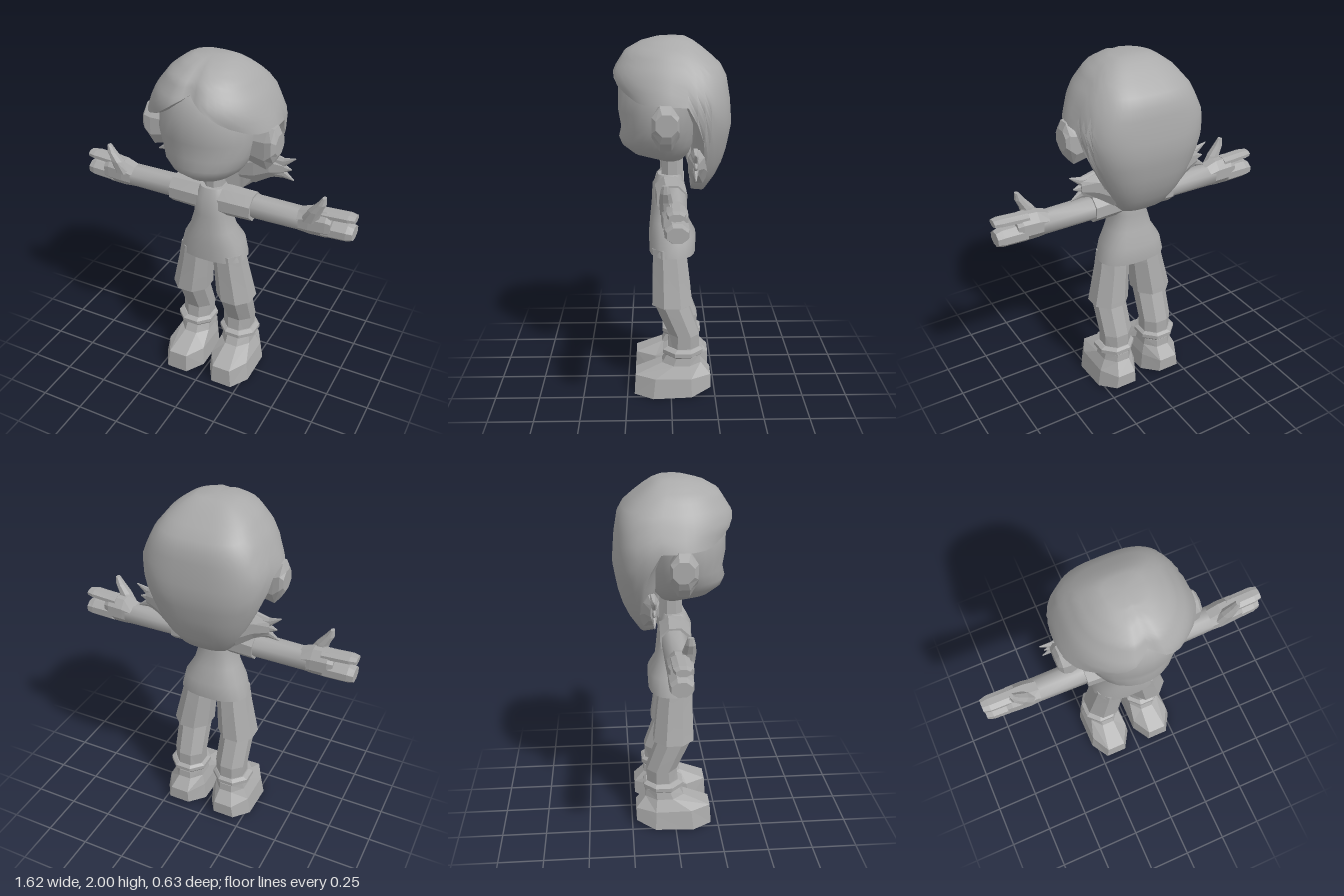
import * as THREE from 'three';
import { toCreasedNormals } from 'three/addons/utils/BufferGeometryUtils.js';

const FLAT = 0.05, SMOOTH = 1.0;
const power = (v, e) => Math.sign(v) * Math.pow(Math.abs(v), e);

// Skin a list of equal-length closed rings, cap both ends, face outwards.
function loft(rings, crease) {
  const n = rings[0].length, pts = rings.flat(), idx = [];
  for (let r = 0; r < rings.length - 1; r++) {
    for (let i = 0; i < n; i++) {
      const a = r * n + i, b = r * n + (i + 1) % n;
      idx.push(a, b, b + n, a, b + n, a + n);
    }
  }
  [0, rings.length - 1].forEach((r, end) => {
    const c = pts.length;
    pts.push(rings[r].reduce((s, p) => s.add(p), new THREE.Vector3()).divideScalar(n));
    for (let i = 0; i < n; i++) {
      const a = r * n + i, b = r * n + (i + 1) % n;
      idx.push(...(end ? [c, a, b] : [c, b, a]));
    }
  });
  let volume = 0;
  for (let i = 0; i < idx.length; i += 3) {
    volume += pts[idx[i]].dot(pts[idx[i + 1]].clone().cross(pts[idx[i + 2]]));
  }
  if (volume < 0) idx.reverse();
  const geo = new THREE.BufferGeometry().setFromPoints(pts);
  geo.setIndex(idx);
  return toCreasedNormals(geo, crease);
}

// Horizontal ring: half-width w about xc, reaching from zb to zf.
function ringY(y, xc, w, zf, zb, n = 8, e = 1) {
  const k = n === 8 ? 1 / Math.cos(Math.PI / 8) : 1;
  return Array.from({ length: n }, (_, i) => {
    const a = (i + 0.5) / n * Math.PI * 2;
    return new THREE.Vector3(
      xc + w * k * power(Math.sin(a), e), y,
      (zf + zb) / 2 + (zf - zb) / 2 * k * power(Math.cos(a), e));
  });
}

// Ring across the arm: heights y0 to y1, depths z0 to z1.
function ringX(x, y0, y1, z0, z1, n = 8) {
  const k = 1 / Math.cos(Math.PI / n);
  return Array.from({ length: n }, (_, i) => {
    const a = (i + 0.5) / n * Math.PI * 2;
    return new THREE.Vector3(x,
      (y0 + y1) / 2 + (y1 - y0) / 2 * k * Math.cos(a),
      (z0 + z1) / 2 + (z1 - z0) / 2 * k * Math.sin(a));
  });
}

// Linear lookup in rows sorted by descending or ascending first column.
function lookup(rows, t) {
  for (let i = 0; i < rows.length - 1; i++) {
    const [p, q] = [rows[i], rows[i + 1]];
    if ((t - p[0]) * (t - q[0]) <= 0) {
      const f = (t - p[0]) / (q[0] - p[0]);
      return p.map((v, j) => v + (q[j] - v) * f);
    }
  }
  return rows[rows.length - 1];
}

// Hair shell: outline by height, lower edge by angle from the front parting.
function hairGeometry() {
  const outline = [
    [2.0, 0.1, 0.08, -0.08], [1.98, 0.15, 0.16, -0.12], [1.93, 0.22, 0.25, -0.19],
    [1.84, 0.29, 0.31, -0.29], [1.78, 0.32, 0.325, -0.3], [1.69, 0.36, 0.285, -0.315],
    [1.56, 0.35, 0.2, -0.325], [1.4, 0.29, 0.1, -0.295], [1.3, 0.24, 0.1, -0.26],
    [1.18, 0.17, 0.1, -0.18]];
  const edge = [[0, 1.88], [18, 1.82], [36, 1.74], [55, 1.69], [98, 1.68],
    [112, 1.5], [125, 1.25], [140, 1.2], [180, 1.19]];
  const n = 48, steps = 14, rings = [];
  const at = (i, v) => {
    const deg = i / n * 360, off = deg > 180 ? 360 - deg : deg;
    const y = 2 + (lookup(edge, off)[1] - 2) * Math.pow(v, 1.4);
    const [, w, zf, zb] = lookup(outline, y);
    const a = deg * Math.PI / 180, s = Math.sin(a), c = Math.cos(a);
    const notch = 1 - 0.1 * Math.max(0, 1 - off / 15);
    return c >= 0
      ? new THREE.Vector3(w * s, y, zf * c * notch)
      : new THREE.Vector3(w * power(s, 0.65), y, -zb * power(c, 0.65));
  };
  for (let r = 0; r <= steps; r++) {
    rings.push(Array.from({ length: n }, (_, i) => at(i, r / steps)));
  }
  // Underside, then the inner face rising to the scalp
  const rim = rings[steps];
  rings.push(rim.map(p => new THREE.Vector3(p.x * 0.86, p.y, Math.max(p.z * 0.88, -0.11))));
  rings.push(rim.map(p => new THREE.Vector3(p.x * 0.8, Math.max(p.y, 1.7), Math.max(p.z * 0.8, -0.14))));
  return loft(rings, SMOOTH);
}

export function createModel() {
  const model = new THREE.Group();
  const grey = new THREE.MeshStandardMaterial({ color: 0xaaaaaa });
  grey.name = 'plain grey';
  const add = (name, geo) => {
    const mesh = new THREE.Mesh(geo, grey);
    mesh.name = name;
    model.add(mesh);
  };
  const stack = (rows, n, e, crease) =>
    loft(rows.map(([y, w, zf, zb]) => ringY(y, 0, w, zf, zb, n, e)), crease);

  // Head, hair, neck and shirt
  add('head', stack([
    [1.335, 0.05, 0.05, -0.06], [1.38, 0.14, 0.2, -0.1], [1.43, 0.195, 0.262, -0.12],
    [1.475, 0.225, 0.28, -0.13], [1.53, 0.248, 0.267, -0.14], [1.62, 0.265, 0.282, -0.15],
    [1.75, 0.255, 0.28, -0.16], [1.85, 0.2, 0.235, -0.14], [1.92, 0.1, 0.12, -0.06]], 24, 1, SMOOTH));
  add('hair', hairGeometry());
  add('neck', stack([[1.22, 0.055, 0.05, -0.07], [1.37, 0.05, 0.05, -0.07]], 8, 1, FLAT));
  add('shirt', stack([
    [0.82, 0.2, 0.12, -0.14], [0.92, 0.175, 0.122, -0.142], [1.0, 0.13, 0.115, -0.1],
    [1.1, 0.1, 0.105, -0.09], [1.2, 0.1, 0.1, -0.08], [1.26, 0.07, 0.07, -0.06]], 20, 0.8, SMOOTH));

  for (const side of [1, -1]) {
    const label = side > 0 ? 'left ' : 'right ';
    const pair = (name, rings, crease = FLAT) => add(label + name,
      loft(rings.map(r => r.map(p => new THREE.Vector3(p.x * side, p.y, p.z))), crease));
    const across = rows => rows.map(r => ringX(...r));

    // Ear
    pair('ear', [
      [0.22, 1.48, 1.67, -0.03, 0.08], [0.33, 1.455, 1.695, -0.04, 0.1],
      [0.365, 1.5, 1.69, -0.04, 0.1], [0.385, 1.54, 1.65, -0.03, 0.08],
    ].map(r => ringX(...r, 8)));

    // Flicked hair ends with three tips
    pair('hair flick', across([
      [0.1, 1.24, 1.4, -0.22, -0.1], [0.19, 1.25, 1.45, -0.2, -0.09],
      [0.28, 1.31, 1.45, -0.17, -0.09], [0.36, 1.34, 1.42, -0.14, -0.11]]));
    for (const [x, y] of [[0.42, 1.45], [0.4, 1.38], [0.415, 1.32]]) {
      pair('hair tip', across([
        [0.28, 1.34 + (y - 1.38) * 0.4, 1.43 + (y - 1.38) * 0.4, -0.15, -0.1],
        [0.355, y * 0.5 + 0.665, y * 0.5 + 0.715, -0.135, -0.11],
        [x, y - 0.003, y + 0.003, -0.125, -0.12]]));
    }

    // Sleeve, arm and hand
    pair('sleeve', across([[0, 1.1, 1.255, -0.075, 0.085], [0.1, 1.1, 1.258, -0.08, 0.085],
      [0.245, 1.1, 1.25, -0.085, 0.075]]), 0.6);
    pair('forearm', across([[0.2, 1.115, 1.24, -0.075, 0.06], [0.55, 1.115, 1.235, -0.075, 0.05]]), 0.9);
    pair('palm', across([[0.5, 1.115, 1.235, -0.07, 0.05], [0.57, 1.11, 1.26, -0.075, 0.055],
      [0.66, 1.11, 1.265, -0.075, 0.05], [0.69, 1.12, 1.25, -0.065, 0.045]]));
    pair('lower fingers', across([[0.64, 1.11, 1.21, -0.075, 0.045],
      [0.77, 1.115, 1.21, -0.075, 0.04], [0.805, 1.125, 1.2, -0.07, 0.03]]));
    pair('upper finger', across([[0.62, 1.215, 1.265, -0.06, 0.03],
      [0.77, 1.228, 1.272, -0.06, 0.03], [0.808, 1.232, 1.268, -0.05, 0.02]]));
    pair('thumb', [
      ringY(1.2, 0.57, 0.05, 0.06, -0.01), ringY(1.27, 0.6, 0.035, 0.065, 0),
      ringY(1.32, 0.632, 0.025, 0.06, 0.01), ringY(1.36, 0.645, 0.01, 0.05, 0.02)]);

    // Trouser leg, shin, cuff
    pair('trouser leg', [
      ringY(0.86, 0.1, 0.085, 0.1, -0.08), ringY(0.76, 0.11, 0.093, 0.1, -0.095),
      ringY(0.545, 0.142, 0.108, 0.105, -0.12)]);
    pair('shin', [
      ringY(0.57, 0.138, 0.09, 0.095, -0.095), ringY(0.53, 0.138, 0.09, 0.085, -0.1),
      ringY(0.36, 0.136, 0.088, 0.01, -0.16), ringY(0.2, 0.136, 0.082, 0.025, -0.16)]);
    pair('cuff', [
      ringY(0.235, 0.138, 0.095, 0.03, -0.165), ringY(0.25, 0.142, 0.11, 0.045, -0.18),
      ringY(0.272, 0.142, 0.11, 0.045, -0.18), ringY(0.285, 0.138, 0.09, 0.02, -0.165)]);

    // Shoe, with the heel of the sole lifted
    const sole = ringY(0, 0.15, 0.127, 0.21, -0.225, 8, 0.8);
    sole.forEach(p => { p.y = 0.005 + Math.max(0, -p.z - 0.08) * 0.25; });
    const upper = ringY(0.12, 0.146, 0.115, 0.2, -0.225, 8, 0.85);
    for (const p of [...sole, ...upper]) p.z = THREE.MathUtils.clamp(p.z, -0.225, 0.21);
    pair('shoe', [sole, upper, ringY(0.185, 0.138, 0.092, 0.05, -0.17),
      ringY(0.23, 0.137, 0.085, 0.025, -0.165)]);
  }
  return model;
}
